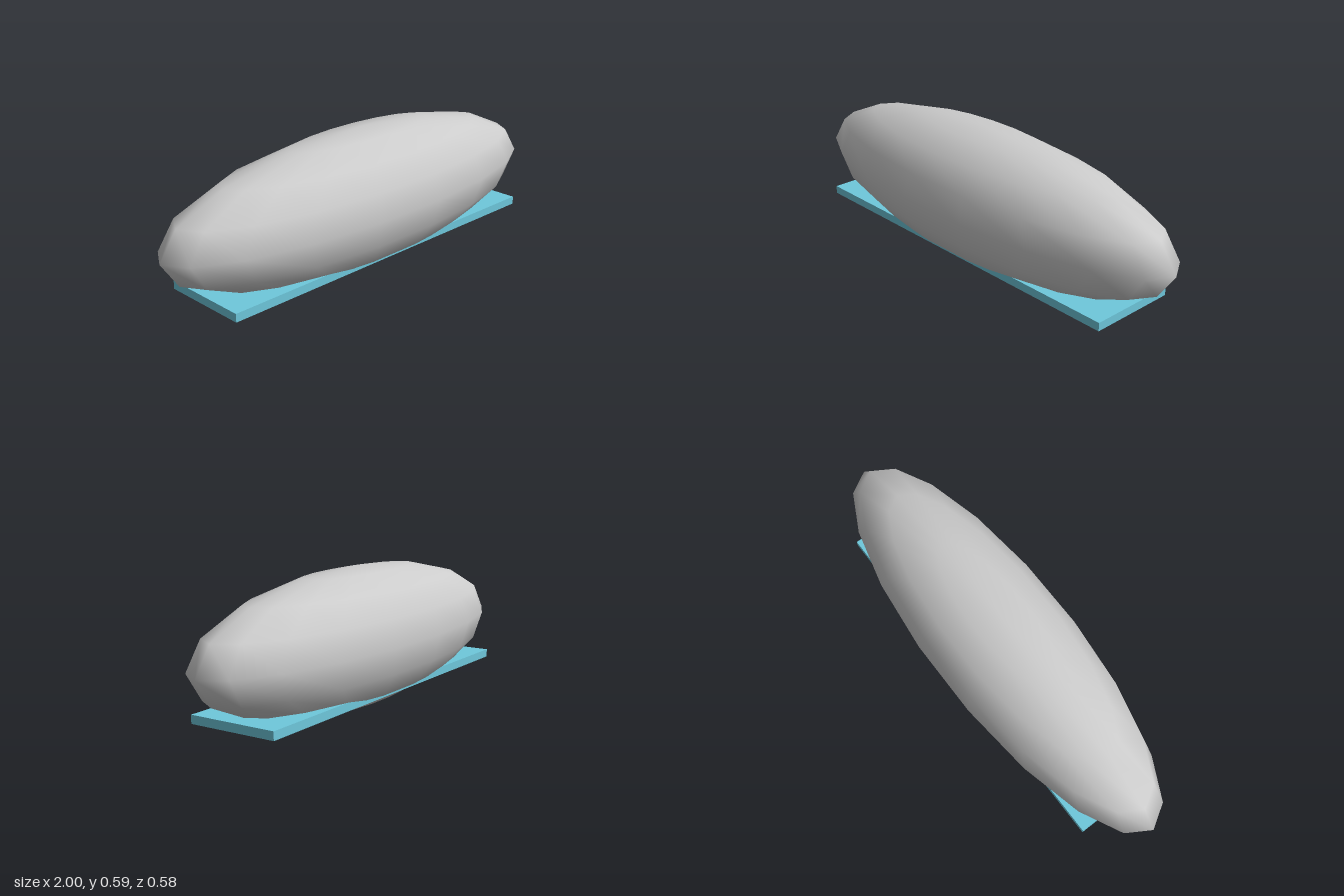
import * as THREE from 'three';

export function createModel() {
  const model = new THREE.Group();

  // Smooth elongated body: 18 sides around, 8 rings
  const radius = 0.293;
  const bodyGeometry = new THREE.SphereGeometry(1, 18, 8);
  bodyGeometry.scale(1, radius, radius);
  const body = new THREE.Mesh(bodyGeometry, new THREE.MeshStandardMaterial({ color: 0xcccccc }));
  body.name = 'ellipsoidBody';
  body.position.y = radius;
  model.add(body);

  // Thin flat plate crossing the lower part of the body
  const plate = new THREE.Mesh(
    new THREE.BoxGeometry(1.646, 0.035, 0.383),
    new THREE.MeshStandardMaterial({ color: 0x6ec8dc })
  );
  plate.name = 'basePlate';
  plate.position.y = 0.0875;
  model.add(plate);

  return model;
}
